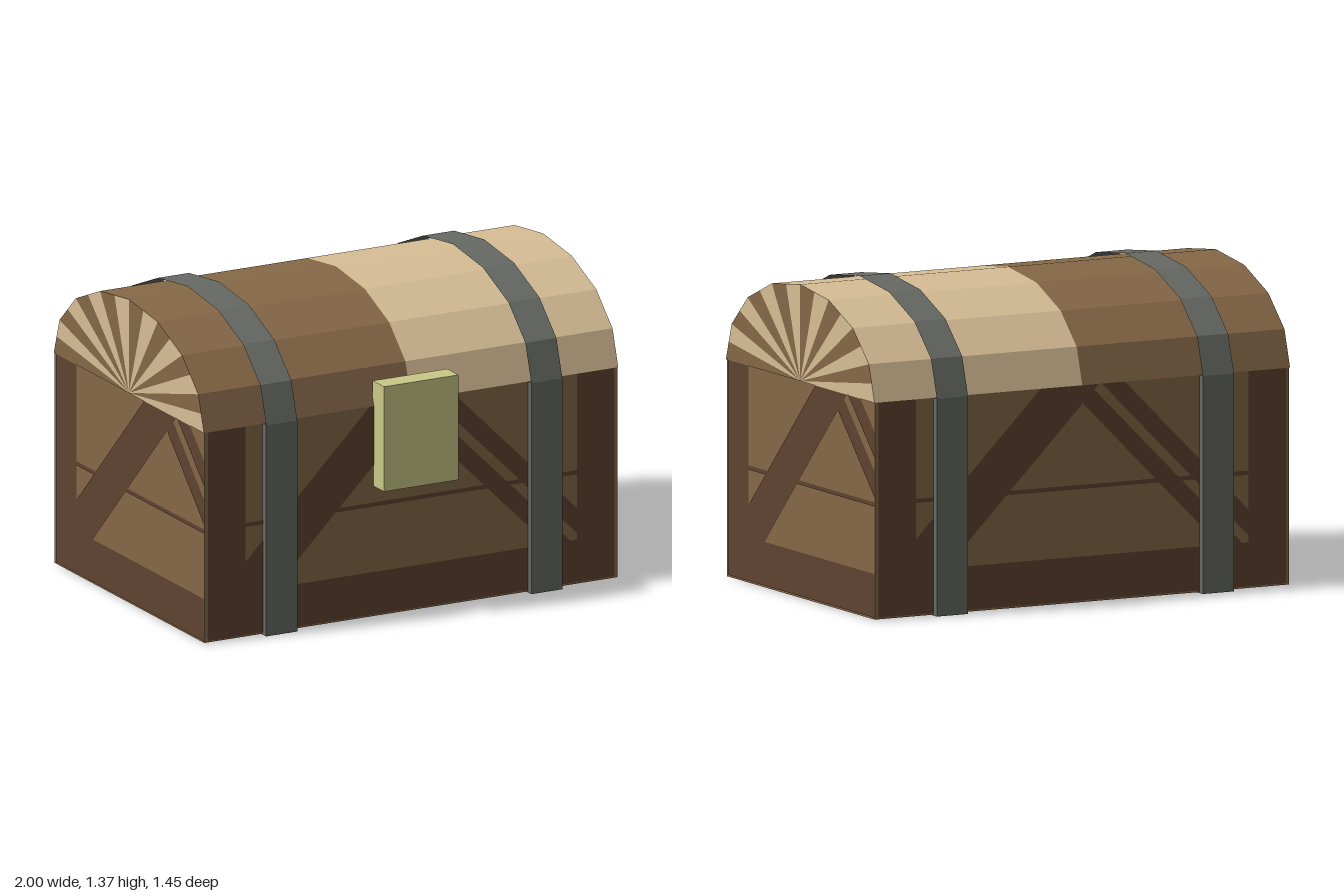
import * as THREE from 'three';

const mat = (name, color, side = THREE.FrontSide) => {
  const m = new THREE.MeshStandardMaterial({ color, side });
  m.name = name;
  return m;
};

// Chest dimensions
const X = 1, H = 0.935, ZF = 0.635, ZB = -0.695, ZC = -0.03, DEPTH = ZF - ZB;

export function createModel() {
  const brown = mat('wood brown', 0x866848);
  const dark = mat('dark wood', 0x5f4330);
  const tan = mat('pale wood', 0xd8be96);
  const iron = mat('iron grey', 0x676a64, THREE.DoubleSide);
  const brass = mat('lock yellow', 0xcac988);

  const root = new THREE.Group();
  root.name = 'chest';

  const add = (parent, name, geometry, material) => {
    const mesh = new THREE.Mesh(geometry, material);
    mesh.name = name;
    parent.add(mesh);
    return mesh;
  };
  const box = (name, x0, x1, y0, y1, z0, z1, material) =>
    add(root, name, new THREE.BoxGeometry(x1 - x0, y1 - y0, z1 - z0), material)
      .position.set((x0 + x1) / 2, (y0 + y1) / 2, (z0 + z1) / 2);

  // Unshared triangles give flat facets
  const facets = (triangles) => {
    const g = new THREE.BufferGeometry();
    g.setAttribute('position', new THREE.Float32BufferAttribute(triangles.flat(2), 3));
    g.computeVertexNormals();
    return g;
  };

  // Points [z, y] of the arch, from front to back
  const arch = (rz, ry) => Array.from({ length: 9 }, (_, i) => {
    const a = (i * Math.PI) / 8;
    return [ZC + rz * Math.cos(a), H + ry * Math.sin(a)];
  });
  // Faceted sheet over the arch between two x positions
  const archSheet = (pts, x0, x1) => {
    const tris = [];
    for (let i = 0; i < pts.length - 1; i++) {
      const [za, ya] = pts[i], [zb, yb] = pts[i + 1];
      const a = [x0, ya, za], b = [x1, ya, za], c = [x1, yb, zb], d = [x0, yb, zb];
      tris.push([a, b, c], [a, c, d]);
    }
    return facets(tris);
  };

  // Body
  const e = 0.003;
  box('body', -X + e, X - e, 0.004, H, ZB + e, ZF - e, brown);

  // Keep the part of a polygon where nx*u + ny*v <= limit
  const clip = (poly, nx, ny, limit) => {
    const out = [];
    poly.forEach((p, i) => {
      const q = poly[(i + 1) % poly.length];
      const dp = nx * p[0] + ny * p[1] - limit, dq = nx * q[0] + ny * q[1] - limit;
      if (dp <= 0) out.push(p);
      if (dp * dq < 0) {
        const t = dp / (dp - dq);
        out.push([p[0] + t * (q[0] - p[0]), p[1] + t * (q[1] - p[1])]);
      }
    });
    return out;
  };
  const rect = (u0, u1, v0, v1) => [[u0, v0], [u1, v0], [u1, v1], [u0, v1]];

  // Dark framing painted on a panel of width w and height h
  const framing = (name, w, h) => {
    const panel = new THREE.Group();
    panel.name = name;
    const inside = rect(0.02, Math.min(w, 1.98), 0.012, h);
    // Diagonal band: lo <= v + s*u <= hi
    const band = (s, lo, hi) => clip(clip(inside, s, 1, hi), -s, -1, -lo);
    const pieces = {
      sidePost: rect(0.02, 0.2, 0.012, h),
      bottomRail: rect(0.02, Math.min(w, 1.98), 0.012, 0.2),
      plankLine: rect(0.2, Math.min(w, 1.8), 0.49, 0.508),
      risingBrace: band(-1, -0.145, 0.135),
      fallingBraceLower: band(1, 1.86, 1.97),
      fallingBraceUpper: band(1, 2.03, 2.14),
    };
    if (w > 1.8) pieces.otherPost = rect(1.8, 1.98, 0.012, h);
    for (const [part, poly] of Object.entries(pieces)) {
      if (poly.length < 3) continue;
      const shape = new THREE.Shape(poly.map(([u, v]) => new THREE.Vector2(u, v)));
      add(panel, part, new THREE.ShapeGeometry(shape), dark);
    }
    root.add(panel);
    return panel;
  };
  const walls = [
    ['frontFraming', 2, -X, ZF, 0],
    ['leftFraming', DEPTH, X, ZF, Math.PI / 2],
    ['backFraming', 2, X, ZB, Math.PI],
    ['rightFraming', DEPTH, -X, ZB, -Math.PI / 2],
  ];
  for (const [name, w, x, z, turn] of walls) {
    const panel = framing(name, w, H);
    panel.position.set(x, 0, z);
    panel.rotation.y = turn;
  }
  const base = framing('baseFraming', 2, DEPTH);
  base.rotation.setFromRotationMatrix(new THREE.Matrix4().makeBasis(
    new THREE.Vector3(-1, 0, 0), new THREE.Vector3(0, 0, -1), new THREE.Vector3(0, -1, 0)));
  base.position.set(X, 0.002, ZF);

  // Arched lid in two colours
  const lid = arch(DEPTH / 2, 0.415);
  add(root, 'lidRightHalf', archSheet(lid, -X, 0), brown);
  add(root, 'lidLeftHalf', archSheet(lid, 0, X), tan);

  // Lid ends: sixteen alternating rays
  const rim = [];
  lid.forEach((p, i) => {
    rim.push(p);
    const q = lid[i + 1];
    if (q) rim.push([(p[0] + q[0]) / 2, (p[1] + q[1]) / 2]);
  });
  for (const side of [1, -1]) {
    const rays = [[], []];
    const at = ([z, y]) => [side * X, y, ZC + side * (z - ZC)];
    for (let i = 0; i < 16; i++) {
      rays[i % 2].push([at([ZC, H]), at(rim[i + 1]), at(rim[i])]);
    }
    // Seen from outside the rays run clockwise, so swap to face outward
    const outward = rays.map((set) => set.map(([a, b, c]) => {
      const nx = (b[1] - a[1]) * (c[2] - a[2]) - (b[2] - a[2]) * (c[1] - a[1]);
      return nx * side > 0 ? [a, b, c] : [a, c, b];
    }));
    const label = side > 0 ? 'leftLidEnd' : 'rightLidEnd';
    add(root, label + 'BrownRays', facets(outward[0]), brown);
    add(root, label + 'PaleRays', facets(outward[1]), tan);
  }

  // Iron straps: uprights, open arch sheet and strip beneath
  const T = 0.028;
  const strapArch = arch(DEPTH / 2 + T, 0.43);
  for (const [side, x0, x1] of [['left', 0.565, 0.715], ['right', -0.715, -0.565]]) {
    box(side + 'StrapFront', x0, x1, 0, H, ZF - 0.01, ZF + T, iron);
    box(side + 'StrapBack', x0, x1, 0, H, ZB - T, ZB + 0.01, iron);
    add(root, side + 'StrapArch', archSheet(strapArch, x0, x1), iron);
    box(side + 'StrapBase', x0, x1, 0, 0.006, side === 'left' ? 0.25 : ZB, ZF, iron);
  }

  // Lock plate
  box('lockPlate', -0.18, 0.18, 0.58, 1.045, 0.625, 0.725, brass);

  return root;
}
